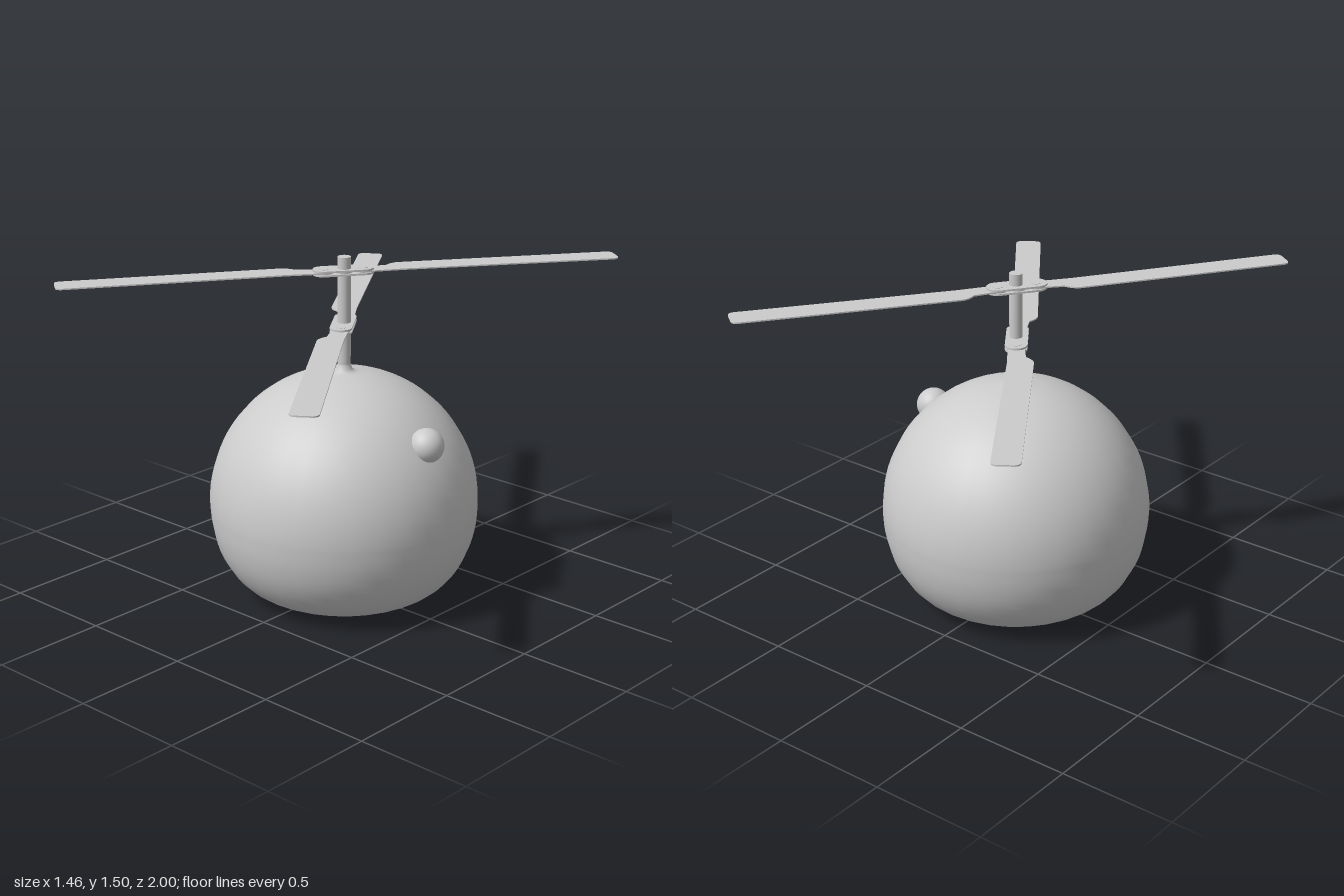
import * as THREE from 'three';
import { toCreasedNormals } from 'three/addons/utils/BufferGeometryUtils.js';

const grey = new THREE.MeshStandardMaterial({ color: 0xcccccc });

function part(name, geometry, parent, x = 0, y = 0, z = 0) {
  const mesh = new THREE.Mesh(geometry, grey);
  mesh.name = name;
  mesh.position.set(x, y, z);
  parent.add(mesh);
  return mesh;
}

// Flat plate lying in the xz plane, centred on y = 0
function plate(shape, thickness) {
  const g = new THREE.ExtrudeGeometry(shape, { depth: thickness, bevelEnabled: false, curveSegments: 12 });
  g.translate(0, 0, -thickness / 2);
  g.rotateX(Math.PI / 2);
  return toCreasedNormals(g, 0.6);
}

// Blade outline: round root at the bolt, stepped neck, then a long paddle
function bladeShape(side) {
  const s = new THREE.Shape();
  const r = 0.042, bolt = 0.083;
  for (let i = 0; i <= 10; i++) {
    const a = Math.PI / 2 + (Math.PI * i) / 10;
    const x = side * (bolt + r * Math.cos(a)), y = r * Math.sin(a);
    if (i === 0) s.moveTo(x, y); else s.lineTo(x, y);
  }
  s.lineTo(side * 0.12, -0.038);
  s.lineTo(side * 0.195, -0.046);
  s.quadraticCurveTo(side * 0.22, -0.075, side * 0.25, -0.08);
  s.lineTo(side * 1.165, -0.065);
  s.quadraticCurveTo(side * 1.195, -0.064, side * 1.195, -0.035);
  s.lineTo(side * 1.195, 0.022);
  s.quadraticCurveTo(side * 1.195, 0.05, side * 1.165, 0.05);
  s.lineTo(side * 0.25, 0.03);
  s.lineTo(side * 0.12, 0.034);
  s.closePath();
  return s;
}

// Hub plate outline: a bar with round ends
function hubShape() {
  const s = new THREE.Shape();
  s.absarc(0.083, 0, 0.047, -Math.PI / 2, Math.PI / 2, false);
  s.absarc(-0.083, 0, 0.047, Math.PI / 2, Math.PI * 1.5, false);
  s.closePath();
  return s;
}

function makeRotor(name) {
  const rotor = new THREE.Group();
  rotor.name = name;
  const arm = new THREE.Group();
  arm.name = name + 'Arm';
  arm.rotation.y = THREE.MathUtils.degToRad(54.4);
  rotor.add(arm);
  // Two clamp plates with the blade roots bolted between them
  for (const y of [-0.008, 0.008]) part('hubPlate', plate(hubShape(), 0.008), arm, 0, y, 0);
  part('hubCollar', new THREE.CylinderGeometry(0.04, 0.04, 0.016, 24), arm);
  for (const side of [1, -1]) {
    part('blade', plate(bladeShape(side), 0.006), arm);
    part('hubBolt', new THREE.CylinderGeometry(0.023, 0.023, 0.027, 20), arm, side * 0.083);
  }
  return rotor;
}

export function createModel() {
  const model = new THREE.Group();
  model.name = 'coaxialHelicopter';
  const cx = 0.005;

  // Rounded body: flat base, soft lower edge, spherical dome, fillet into the mast
  const lower = new THREE.SplineCurve([
    [0.2, 0.004], [0.3, 0.012], [0.4, 0.045], [0.48, 0.11], [0.54, 0.21], [0.571, 0.32], [0.58, 0.425],
  ].map(([x, y]) => new THREE.Vector2(x, y))).getPoints(20);
  const profile = [new THREE.Vector2(0, 0.002), new THREE.Vector2(0.1, 0.002), ...lower];
  for (let i = 1; i <= 20; i++) {
    const a = (i / 20) * 1.46;
    profile.push(new THREE.Vector2(0.58 * Math.cos(a), 0.425 + 0.578 * Math.sin(a)));
  }
  profile.push(new THREE.Vector2(0.046, 1.004), new THREE.Vector2(0.034, 1.014), new THREE.Vector2(0.028, 1.035));
  part('body', new THREE.LatheGeometry(profile, 32), model, cx);

  // Mast through both rotors
  part('mast', new THREE.CylinderGeometry(0.028, 0.028, 0.48, 24), model, cx, 1.26);

  // Round nose on the +x side
  part('nose', new THREE.SphereGeometry(0.074, 32, 20), model, 0.465, 0.776);

  // Counter-turning rotors: the lower one is the upper one flipped over
  const upper = makeRotor('upperRotor');
  upper.position.set(0, 1.438, 0);
  const lowerRotor = makeRotor('lowerRotor');
  lowerRotor.position.set(0, 1.205, 0);
  lowerRotor.rotation.x = Math.PI;
  model.add(upper, lowerRotor);

  return model;
}
